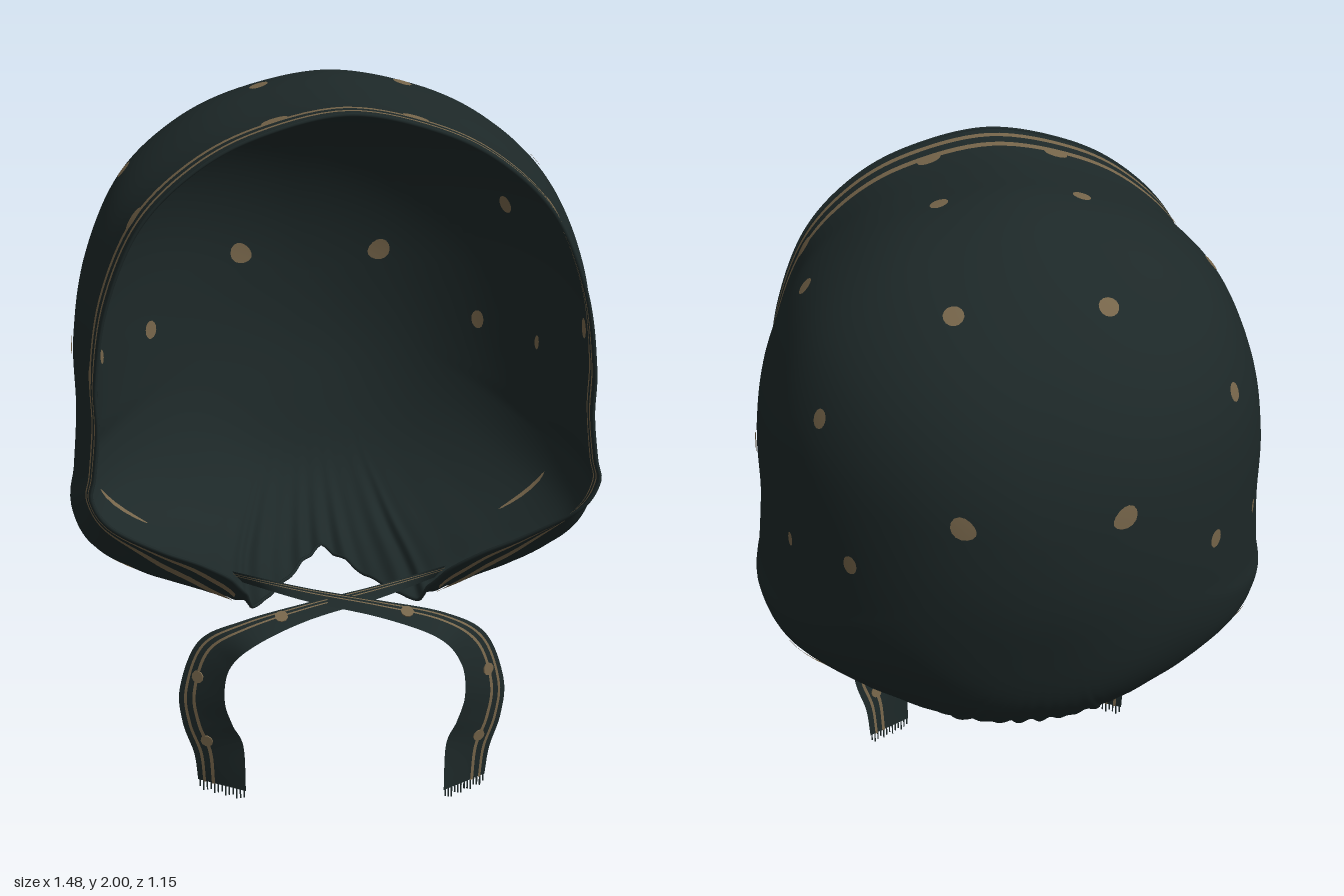
import * as THREE from 'three';

const V = (x, y, z) => new THREE.Vector3(x, y, z);
const cloth = new THREE.MeshStandardMaterial({ color: 0x1d2828, side: THREE.DoubleSide });
cloth.name = 'darkCloth';
const gold = new THREE.MeshStandardMaterial({ color: 0x76654a, side: THREE.DoubleSide });
gold.name = 'dullGold';

// Smooth sheet from fn(u, v); wrap joins the last column to the first
function sheet(fn, nu, nv, wrap = false) {
  const pos = [], idx = [], cols = wrap ? nu : nu + 1;
  for (let j = 0; j <= nv; j++)
    for (let i = 0; i < cols; i++) pos.push(...fn(i / nu, j / nv).toArray());
  for (let j = 0; j < nv; j++)
    for (let i = 0; i < nu; i++) {
      const a = j * cols + i, b = j * cols + ((i + 1) % cols), c = a + cols, d = b + cols;
      idx.push(a, b, c, b, d, c);
    }
  const g = new THREE.BufferGeometry();
  g.setAttribute('position', new THREE.Float32BufferAttribute(pos, 3));
  g.setIndex(idx);
  g.computeVertexNormals();
  return g;
}

function add(parent, name, geometry, material) {
  const m = new THREE.Mesh(geometry, material);
  m.name = name;
  parent.add(m);
  return m;
}

// Half outline of the hood from crown to nape: unit x, unit y, z of the open edge
const half = [
  [0, 1, 0.56], [0.35, 0.93, 0.565], [0.61, 0.8, 0.565], [0.82, 0.595, 0.555], [0.95, 0.3, 0.54],
  [1, 0, 0.53], [1, -0.24, 0.53], [1.02, -0.46, 0.535], [1.035, -0.58, 0.54], [0.96, -0.72, 0.53],
  [0.76, -0.83, 0.45], [0.45, -0.93, 0.34], [0.32, -0.97, 0.2], [0.15, -1, -0.05], [0, -1, -0.2],
];
const mirrored = half.slice(1, -1).reverse().map(([x, y, z]) => [-x, y, z]);
const outline = new THREE.CatmullRomCurve3([...half, ...mirrored].map(p => V(...p)), true, 'catmullrom');

// Half width, top and bottom of the hood at stations from back to front
const stations = new THREE.CatmullRomCurve3([
  [0, 1.25, 1.25], [0.14, 1.41, 1.06], [0.28, 1.55, 0.89], [0.405, 1.675, 0.69], [0.52, 1.785, 0.58],
  [0.615, 1.885, 0.505], [0.68, 1.965, 0.475], [0.708, 1.998, 0.47], [0.71, 1.99, 0.475],
  [0.67, 1.985, 0.635], [0.65, 2, 0.76],
].map(p => V(...p)), false, 'catmullrom');

const BACK = -0.575, DEPTH = 1.135;
const mod1 = u => ((u % 1) + 1) % 1;
const edgeZ = u => Math.min(0.57, outline.getPoint(mod1(u)).z);

// Point of the hood at turn u (0 crown, 0.5 nape) and depth z: rounder at the back, gathered near the neck
function hood(u, z) {
  u = mod1(u);
  const w = Math.acos(THREE.MathUtils.clamp(1 - (z - BACK) / DEPTH, 0, 1)) * 2 / Math.PI;
  const s = stations.getPoint(w), o = outline.getPoint(u);
  const mid = 1.25 + 0.05 * THREE.MathUtils.smoothstep(w, 0, 0.4);
  const round = (Math.abs(o.x) ** 2.3 + Math.abs(o.y) ** 2.3) ** (-1 / 2.3);
  const a = 2 * Math.min(u, 1 - u);
  const gather = THREE.MathUtils.smoothstep(a, 0.7, 0.9) * THREE.MathUtils.smoothstep(z, -0.5, -0.2);
  const k = THREE.MathUtils.lerp(round, 1, THREE.MathUtils.smoothstep(w, 0.2, 0.75))
    * (1 + gather * (0.007 * Math.sin(a * 150) + 0.006 * Math.sin(a * 97 + 1)));
  const y = o.y > 0 ? o.y * (s.y - mid) : o.y * (mid - s.z);
  return V(o.x * s.x * k, mid + y * k, z);
}

// Tangents along u and z, and the normal
function frame(u, z) {
  const e = 0.003;
  const du = hood(u + e, z).sub(hood(u - e, z)).divideScalar(2 * e);
  const dz = hood(u, z + e).sub(hood(u, z - e)).divideScalar(2 * e);
  return { du, dz, n: dz.clone().cross(du).normalize() };
}

function buildHood(root) {
  add(root, 'hoodShell', sheet((u, t) => hood(u, BACK + (edgeZ(u) - BACK) * (1 - Math.cos(t * Math.PI / 2))), 400, 40, true), cloth);
  // Rolled hem round the face and neck
  const rim = Array.from({ length: 160 }, (_, i) => hood(i / 160, edgeZ(i / 160)));
  add(root, 'rolledHem', new THREE.TubeGeometry(new THREE.CatmullRomCurve3(rim, true), 320, 0.005, 6, true), cloth);
  // Trim bands, on the outside and the inside
  for (const [d0, d1] of [[0.038, 0.06], [0.096, 0.122]])
    for (const side of [-1, 1])
      add(root, 'trimBand', sheet((p, t) => {
        const u = -0.4 + 0.8 * p, z = edgeZ(u) - d0 - (d1 - d0) * t;
        return hood(u, z).addScaledVector(frame(u, z).n, side * 0.004);
      }, 160, 2), gold);
}

// Spots: target position, then radius around the hood and from back to front
const spots = [
  [0.21, 1.32, -0.55, 0.032, 0.036], [0.21, 1.82, -0.32, 0.028, 0.028], [0.2, 2, 0.08, 0.026, 0.026],
  [0.55, 1.74, 0.08, 0.026, 0.026], [0.55, 1.53, -0.28, 0.028, 0.022], [0.7, 1.27, 0.12, 0.03, 0.024],
  [0.49, 1.14, -0.38, 0.028, 0.022], [0.64, 1.13, -0.18, 0.022, 0.01], [0.62, 0.61, 0.155, 0.09, 0.02],
  [0.58, 0.72, -0.08, 0.09, 0.008],
  [0.19, 1.97, 0.44, 0.035, 0.028], [0.57, 1.74, 0.44, 0.035, 0.028], [0.68, 1.29, 0.435, 0.035, 0.025],
];

// Thin round patches that follow the cloth, on both faces
function buildSpots(root) {
  const samples = [];
  for (let i = 0; i < 240; i++)
    for (let j = 1; j < 100; j++) {
      const u = i / 480, z = BACK + (edgeZ(u) - BACK) * j / 100;
      samples.push({ u, z, p: hood(u, z) });
    }
  for (const [x, y, z, ru, rv] of spots) {
    const target = V(x, y, z);
    const best = samples.reduce((a, b) => (b.p.distanceToSquared(target) < a.p.distanceToSquared(target) ? b : a));
    for (const u of [best.u, 1 - best.u]) {
      const { du, dz } = frame(u, best.z);
      const su = ru / du.length(), sz = rv / dz.length();
      for (const side of [-1, 1])
        add(root, 'spot', sheet((p, r) => {
          const a = p * Math.PI * 2;
          const pu = u + su * r * Math.cos(a), pz = best.z + sz * r * Math.sin(a);
          return hood(pu, pz).addScaledVector(frame(pu, pz).n, side * 0.0048);
        }, 14, 4, true), gold);
    }
  }
}

// Two edges of a tie, from the neck corner across the throat and down
const outer = [[0.3, 0.65, 0.32], [0.1, 0.622, 0.37], [-0.1, 0.602, 0.42], [-0.28, 0.565, 0.44], [-0.4, 0.5, 0.42],
  [-0.455, 0.36, 0.42], [-0.45, 0.25, 0.42], [-0.42, 0.15, 0.42], [-0.41, 0.06, 0.41]];
const inner = [[0.27, 0.61, 0.31], [0.1, 0.595, 0.4], [-0.1, 0.57, 0.465], [-0.25, 0.53, 0.525], [-0.32, 0.45, 0.5],
  [-0.335, 0.35, 0.49], [-0.315, 0.27, 0.485], [-0.285, 0.2, 0.485], [-0.28, 0.06, 0.49]];

function buildTie(root, name, sign, drop, lift) {
  const tie = new THREE.Group();
  tie.name = name;
  root.add(tie);
  const curve = pts => new THREE.CatmullRomCurve3(pts.map(([x, y, z], i) =>
    V(x * sign, y - drop * i / 8 + (i < 4 ? lift : 0), z + (i > 0 && i < 3 ? lift : 0))), false, 'catmullrom');
  const A = curve(outer), B = curve(inner);
  const at = (t, f) => A.getPoint(t).lerp(B.getPoint(t), f);
  const normal = t => {
    const along = at(Math.min(1, t + 0.01), 0.5).sub(at(Math.max(0, t - 0.01), 0.5));
    return along.cross(B.getPoint(t).sub(A.getPoint(t))).normalize();
  };
  add(tie, 'ribbon', sheet((t, f) => at(t, f), 80, 4), cloth);
  for (const side of [-1, 1])
    for (const [f0, f1] of [[0.12, 0.18], [0.3, 0.37]])
      add(tie, 'ribbonStripe', sheet((t, f) => at(t, f0 + (f1 - f0) * f).addScaledVector(normal(t), side * 0.003), 80, 1), gold);
  // Half spots beside the stripe
  for (const t of [0.3, 0.58, 0.83]) {
    const spot = add(tie, 'ribbonSpot', new THREE.CylinderGeometry(0.018, 0.018, 0.007, 10), gold);
    spot.position.copy(at(t, 0.34));
    spot.quaternion.setFromUnitVectors(V(0, 1, 0), normal(t));
  }
  // Frayed end
  for (let i = 0; i < 13; i++) {
    const len = 0.02 + 0.01 * ((i * 5) % 3) / 2;
    const thread = add(tie, 'fringeThread', new THREE.BoxGeometry(0.004, len, 0.004), cloth);
    thread.position.copy(at(1, (i + 0.5) / 13));
    thread.position.y -= len / 2;
  }
}

export function createModel() {
  const root = new THREE.Group();
  root.name = 'bonnet';
  buildHood(root);
  buildSpots(root);
  buildTie(root, 'leftCornerTie', 1, 0, 0);
  buildTie(root, 'rightCornerTie', -1, 0.03, 0.01);
  return root;
}
